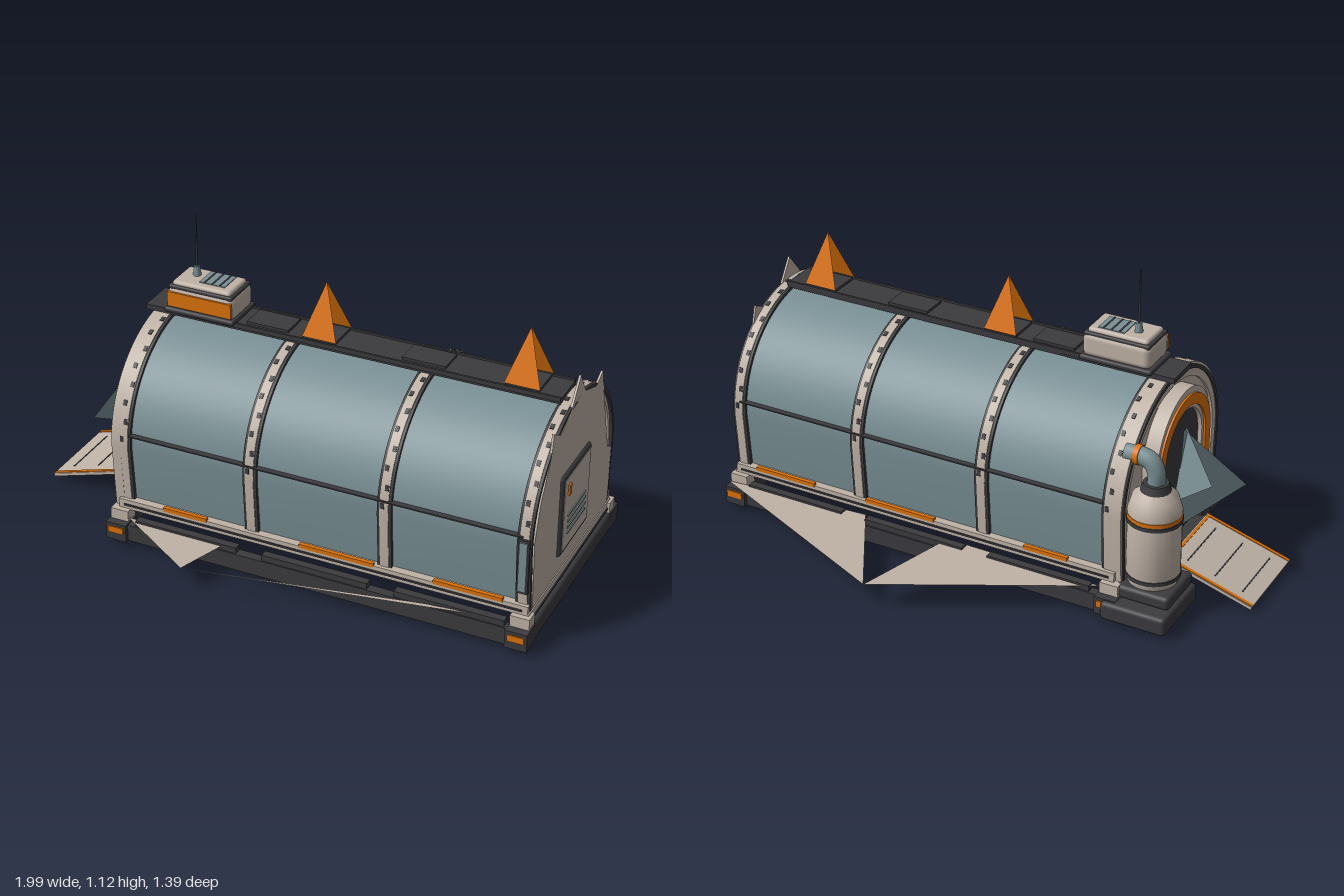
import * as THREE from 'three';
import { toCreasedNormals } from 'three/addons/utils/BufferGeometryUtils.js';
import { RoundedBoxGeometry } from 'three/addons/geometries/RoundedBoxGeometry.js';

const CZ = 0.08; // z of the long axis

export function createModel() {
  const model = new THREE.Group();
  model.name = 'habitatModule';
  const mat = (name, color, side = THREE.FrontSide) => {
    const m = new THREE.MeshStandardMaterial({ color, side });
    m.name = name;
    return m;
  };
  const beige = mat('beigePanel', 0xc0b3a7, THREE.DoubleSide);
  const dark = mat('darkMetal', 0x3b3a3e);
  const glass = mat('blueGreyGlass', 0x798f94, THREE.DoubleSide);
  const orange = mat('orangeTrim', 0xdc720c, THREE.DoubleSide);

  const add = (name, geo, material, x = 0, y = 0, z = 0) => {
    const m = new THREE.Mesh(geo, material);
    m.name = name;
    m.position.set(x, y, z);
    model.add(m);
    return m;
  };
  // box given by its limits on each axis
  const box = (name, material, x0, x1, y0, y1, z0, z1) =>
    add(name, new THREE.BoxGeometry(x1 - x0, y1 - y0, z1 - z0), material,
      (x0 + x1) / 2, (y0 + y1) / 2, (z0 + z1) / 2);
  const rounded = (name, material, x0, x1, y0, y1, z0, z1, r) =>
    add(name, new RoundedBoxGeometry(x1 - x0, y1 - y0, z1 - z0, 2, r), material,
      (x0 + x1) / 2, (y0 + y1) / 2, (z0 + z1) / 2);
  const tri = (name, material, ...p) => {
    const g = new THREE.BufferGeometry();
    g.setAttribute('position', new THREE.Float32BufferAttribute(p.flat(), 3));
    g.computeVertexNormals();
    return add(name, g, material);
  };

  // arch outline: straight leaning walls under a half ellipse
  const arch = (foot, half, y0, spring, top) => {
    const pts = [new THREE.Vector2(foot, y0)];
    for (let i = 0; i <= 32; i++) {
      const a = (i / 32) * Math.PI;
      pts.push(new THREE.Vector2(half * Math.cos(a), spring + (top - spring) * Math.sin(a)));
    }
    pts.push(new THREE.Vector2(-foot, y0));
    return pts;
  };
  const hull = (d, y0) => arch(0.372 + d, 0.388 + d, y0, 0.38, 0.75 + d);
  const extrudeX = (name, material, outline, x0, x1) => {
    let g = new THREE.ExtrudeGeometry(new THREE.Shape(outline),
      { depth: x1 - x0, bevelEnabled: false });
    g = toCreasedNormals(g, 0.5);
    g.rotateY(Math.PI / 2);
    return add(name, g, material, x0, 0, CZ);
  };
  const band = (outer, inner) => [...outer, ...inner.reverse()];

  // curved glass bays
  for (const [a, b] of [[-0.54, -0.07], [-0.05, 0.435], [0.455, 0.94]])
    extrudeX('glassBay', glass, band(hull(-0.002, 0.16), hull(-0.012, 0.16)), a, b);

  // ribs with dark edges and a row of dark clips
  const clipShape = new THREE.BoxGeometry(0.014, 0.02, 0.004);
  for (const x of [-0.552, -0.06, 0.445, 0.945]) {
    extrudeX('rib', beige, band(hull(0.012, 0.12), hull(-0.02, 0.12)), x - 0.016, x + 0.016);
    for (const s of [-1, 1])
      extrudeX('ribEdge', dark, band(hull(0.009, 0.12), hull(-0.004, 0.12)),
        x + s * 0.021 - 0.005, x + s * 0.021 + 0.005);
    for (let i = 0; i < 18; i++) {
      const a = ((i + 0.5) / 18) * Math.PI;
      const clip = add('ribClip', clipShape, dark, x + (i % 2 ? 0.006 : -0.006),
        0.38 + 0.382 * Math.sin(a), CZ + 0.4 * Math.cos(a));
      clip.rotation.x = -a;
    }
  }

  // sills, glazing shelves and lower trim on both long sides
  for (const s of [-1, 1]) {
    const side = (name, m, x0, x1, y0, y1, a, b) =>
      box(name, m, x0, x1, y0, y1, CZ + Math.min(s * a, s * b), CZ + Math.max(s * a, s * b));
    side('sill', beige, -0.58, 0.97, 0.128, 0.165, 0.37, 0.4);
    side('sillShadowLine', dark, -0.56, 0.95, 0.142, 0.149, 0.39, 0.404);
    side('glazingShelf', dark, -0.53, 0.94, 0.429, 0.434, 0.375, 0.402);
    for (const [a, b] of [[-0.4, -0.23], [0.13, 0.41], [0.63, 0.88]])
      side('sillTrim', orange, a, b, 0.16, 0.175, 0.388, 0.403);
    // base beam with heavier blocks under each bay
    side('baseBeam', dark, -0.6, 0.98, 0.02, 0.085, 0.4, 0.435);
    for (const x of [-0.3, 0.2, 0.7])
      side('beamBlock', dark, x - 0.2, x + 0.2, 0.035, 0.108, 0.4, 0.43);
    for (const x of [-0.57, 0.95]) {
      side('cornerFoot', dark, x - 0.04, x + 0.04, 0.02, 0.088, 0.37, 0.45);
      side('cornerPeg', dark, x - 0.015, x + 0.015, 0, 0.02, 0.4, 0.43);
      side('cornerLamp', orange, x - 0.03, x + 0.03, 0.05, 0.075, 0.445, 0.454);
      side('cornerCap', beige, x - 0.035, x + 0.035, 0.088, 0.13, 0.37, 0.42);
    }
  }
  box('ribVentFrame', dark, 0.926, 0.966, 0.215, 0.425, 0.472, 0.484);
  box('ribVent', glass, 0.932, 0.96, 0.225, 0.415, 0.478, 0.489);
  rounded('endBeam', dark, 0.935, 0.99, 0.015, 0.09, -0.34, 0.5, 0.015);
  rounded('endBeam', dark, -0.62, -0.56, 0.015, 0.09, -0.34, 0.5, 0.015);
  box('endSill', beige, 0.94, 0.975, 0.098, 0.135, -0.32, 0.48);
  box('endSillLine', dark, 0.94, 0.979, 0.102, 0.11, -0.32, 0.48);

  // floor with two dark triangular underplates
  box('floor', beige, -0.58, 0.95, 0.09, 0.096, -0.26, 0.42);
  const mid = [0.18, 0.086, CZ];
  tri('underPlate', dark, [0.95, 0.086, -0.26], [0.95, 0.086, 0.42], mid);
  tri('underPlate', dark, [-0.58, 0.086, 0.42], [-0.58, 0.086, -0.26], mid);

  // low pointed ground flaps
  const flap = (a, b, c) => tri('groundFlap', beige, ...[a, b, c].map(([x, z]) => [x, 0.1, z]));
  flap([-0.53, -0.32], [0.08, -0.31], [0.19, -0.7]);
  flap([0.42, -0.31], [0.99, -0.35], [0.19, -0.7]);
  flap([-0.54, 0.49], [-0.22, 0.69], [-0.15, 0.49]);
  flap([-0.22, 0.69], [0.83, 0.5], [0.62, 0.52]);

  // far end wall with pointed crest and a slanting shoulder
  const wall = [[-0.37, 0.12], [0.36, 0.12], [0.37, 0.4], [0.33, 0.53], [0.25, 0.66], [0.235, 0.74],
    [0.17, 0.7], [0.07, 0.75], [0, 0.84], [-0.06, 0.75], [-0.17, 0.71], [-0.23, 0.74],
    [-0.27, 0.6], [-0.34, 0.38], [-0.38, 0.36]];
  // extrusion maps shape x to -z
  extrudeX('endWall', beige, wall.map(([u, y]) => new THREE.Vector2(-u, y)).reverse(), 0.963, 0.971);

  // service hatch on the end wall
  rounded('hatchFrame', dark, 0.955, 0.982, 0.205, 0.52, -0.052, 0.225, 0.012);
  box('hatchPanel', beige, 0.978, 0.984, 0.222, 0.503, -0.035, 0.208);
  box('hatchHandle', orange, 0.982, 0.99, 0.433, 0.475, 0.16, 0.18);
  for (const y of [0.28, 0.303, 0.327, 0.35]) {
    box('hatchVent', glass, 0.982, 0.988, y - 0.003, y + 0.003, 0, 0.17);
    box('hatchVentSlot', dark, 0.982, 0.986, y - 0.006, y - 0.003, 0, 0.17);
  }

  // roof spine
  box('roofSpine', dark, -0.63, 0.93, 0.755, 0.775, 0.012, 0.15);
  for (const x of [-0.16, 0.43])
    box('spinePlate', dark, x - 0.08, x + 0.08, 0.77, 0.785, 0.03, 0.13);
  for (const z of [0.008, 0.148])
    box('spineRail', dark, -0.5, 0.93, 0.765, 0.782, z, z + 0.008);

  // orange roof beacons: two leaning triangles each
  for (const x of [0.045, 0.79]) {
    box('beaconBase', dark, x - 0.06, x + 0.06, 0.77, 0.785, 0.02, 0.14);
    for (const s of [1, -1])
      tri('beaconFin', orange, [x - s * 0.065, 0.785, CZ + s * 0.065],
        [x + s * 0.065, 0.785, CZ + s * 0.065], [x, 0.98, CZ]);
  }

  // roof unit and antenna
  rounded('roofUnit', beige, -0.54, -0.28, 0.78, 0.875, 0.0, 0.16, 0.025);
  rounded('roofUnitBase', dark, -0.55, -0.275, 0.77, 0.79, -0.008, 0.168, 0.008);
  rounded('roofUnitSeam', dark, -0.535, -0.285, 0.86, 0.876, 0.006, 0.156, 0.006);
  rounded('roofUnitLid', beige, -0.525, -0.295, 0.86, 0.89, 0.015, 0.148, 0.012);
  box('roofUnitStripe', orange, -0.535, -0.285, 0.797, 0.853, 0.155, 0.166);
  box('roofUnitGrille', glass, -0.43, -0.33, 0.885, 0.893, 0.03, 0.12);
  for (const x of [-0.41, -0.38, -0.35])
    box('grilleBar', dark, x - 0.003, x + 0.003, 0.888, 0.895, 0.03, 0.12);
  add('antennaBase', new THREE.CylinderGeometry(0.01, 0.016, 0.04, 12), glass, -0.465, 0.905, 0.07);
  add('antenna', new THREE.CylinderGeometry(0.003, 0.005, 0.22, 8), dark, -0.465, 1.01, 0.07);

  // entrance end: wall, arched portal, trim and door
  extrudeX('entranceWall', beige, hull(-0.03, 0.1), -0.59, -0.575);
  extrudeX('entranceFrame', beige, band(hull(0.012, 0.1), hull(-0.04, 0.1)), -0.6, -0.565);
  extrudeX('entranceFrameLine', dark, band(hull(0.003, 0.1), hull(-0.012, 0.1)), -0.605, -0.595);
  extrudeX('portal', beige, band(arch(0.22, 0.22, 0.08, 0.47, 0.7), arch(0.15, 0.15, 0.08, 0.47, 0.62)), -0.645, -0.58);
  extrudeX('portalTrim', orange, band(arch(0.207, 0.207, 0.27, 0.47, 0.675), arch(0.165, 0.165, 0.27, 0.47, 0.634)), -0.653, -0.64);
  extrudeX('doorway', dark, arch(0.155, 0.155, 0.08, 0.47, 0.625), -0.63, -0.588);
  box('threshold', dark, -0.68, -0.6, 0.08, 0.12, -0.08, 0.24);
  for (const z of [-0.15, 0.23])
    box('portalFoot', dark, -0.66, -0.58, 0.09, 0.18, z, z + 0.08);

  // pointed door panes
  tri('doorPane', glass, [-0.66, 0.575, 0.06], [-0.825, 0.455, -0.08], [-0.65, 0.3, 0.0]);
  tri('doorPane', glass, [-0.66, 0.575, 0.04], [-0.825, 0.3, 0.23], [-0.655, 0.19, 0.0]);

  // sloping ramp
  const ramp = new THREE.Group();
  ramp.name = 'ramp';
  const rampPart = (name, m, w, h, d, x, y, z) => {
    const p = new THREE.Mesh(new THREE.BoxGeometry(w, h, d), m);
    p.name = name;
    p.position.set(x, y, z);
    ramp.add(p);
  };
  rampPart('rampPlate', beige, 0.34, 0.012, 0.345, 0, 0, 0);
  for (const s of [-1, 1]) rampPart('rampEdge', orange, 0.335, 0.004, 0.013, 0, 0.007, s * 0.163);
  rampPart('rampLip', orange, 0.01, 0.004, 0.34, 0.16, 0.007, 0);
  for (const x of [-0.11, 0, 0.11]) rampPart('rampTread', dark, 0.005, 0.004, 0.24, x, 0.006, 0);
  ramp.position.set(-0.834, 0.07, CZ);
  ramp.rotation.z = 0.29;
  model.add(ramp);

  // tank on its platform, with pipe into the wall
  rounded('tankPlatform', dark, -0.805, -0.56, 0.015, 0.085, -0.39, -0.12, 0.015);
  rounded('tankPlinth', dark, -0.79, -0.58, 0.08, 0.13, -0.33, -0.125, 0.015);
  const tx = -0.682, tz = -0.225;
  const tank = [[0, 0.12], [0.085, 0.12], [0.095, 0.15], [0.095, 0.41], [0.08, 0.46], [0.045, 0.49], [0, 0.495]]
    .map(([r, y]) => new THREE.Vector2(r, y));
  add('tank', toCreasedNormals(new THREE.LatheGeometry(tank, 28), 0.6), beige, tx, 0, tz);
  for (const [y, m] of [[0.16, dark], [0.375, dark], [0.392, orange]])
    add('tankBand', new THREE.CylinderGeometry(0.098, 0.098, 0.014, 28), m, tx, y, tz);
  add('tankCollar', new THREE.CylinderGeometry(0.045, 0.055, 0.03, 20), dark, tx, 0.495, tz);
  const path = new THREE.CatmullRomCurve3([[tx, 0.48], [tx, 0.55], [tx + 0.02, 0.585], [tx + 0.06, 0.598], [-0.57, 0.598]]
    .map(([x, y]) => new THREE.Vector3(x, y, tz)));
  add('pipe', new THREE.TubeGeometry(path, 24, 0.032, 14), glass);
  const ring = add('pipeRing', new THREE.CylinderGeometry(0.036, 0.036, 0.02, 16), orange, -0.615, 0.598, tz);
  ring.rotation.z = Math.PI / 2;

  return model;
}
